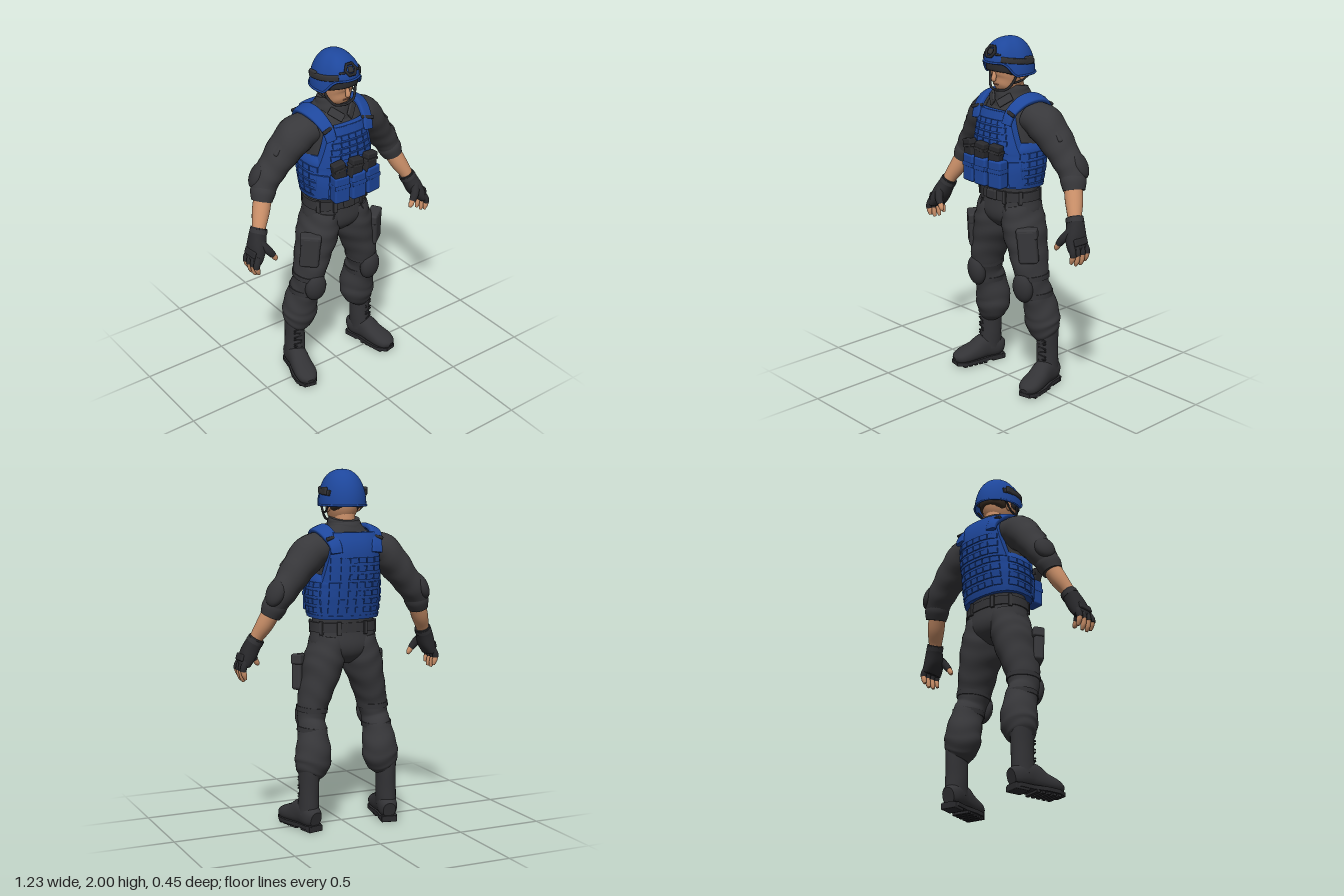
import * as THREE from 'three';
import { mergeVertices } from 'three/addons/utils/BufferGeometryUtils.js';
import { RoundedBoxGeometry } from 'three/addons/geometries/RoundedBoxGeometry.js';

const V = (x, y, z) => new THREE.Vector3(x, y, z);
const Y = V(0, 1, 0), Z = V(0, 0, 1);
const spow = (v, e) => Math.sign(v) * Math.abs(v) ** e;

// Closed skin through sections [x, y, z, halfWidth, halfDepth]; depth follows the hint axis
function loft(secs, { n = 24, sub = 5, p = 2, hint = Z, fold = 0 } = {}) {
  const rows = [], k = secs.length, pos = [], idx = [];
  for (let i = 0; i < k - 1; i++) for (let s = 0; s < sub; s++) {
    const t = s / sub, [a, b, c, d] = [secs[Math.max(i - 1, 0)], secs[i], secs[i + 1], secs[Math.min(i + 2, k - 1)]];
    rows.push(b.map((_, j) => 0.5 * (2 * b[j] + (c[j] - a[j]) * t + (2 * a[j] - 5 * b[j] + 4 * c[j] - d[j]) * t * t
      + (3 * b[j] - a[j] - 3 * c[j] + d[j]) * t ** 3)));
  }
  rows.push(secs[k - 1]);
  const C = rows.map(r => V(r[0], r[1], r[2])), m = rows.length;
  rows.forEach((r, j) => {
    const T = C[Math.min(j + 1, m - 1)].clone().sub(C[Math.max(j - 1, 0)]).normalize();
    const D = hint.clone().addScaledVector(T, -T.dot(hint)).normalize(), S = T.clone().cross(D);
    for (let i = 0; i < n; i++) {
      const q = i / n * Math.PI * 2, f = 1 + fold * Math.sin(j * 1.15 + 1.6 * Math.sin(q * 2 + 0.6));
      pos.push(...C[j].clone().addScaledVector(S, r[3] * f * spow(Math.cos(q), 2 / p))
        .addScaledVector(D, r[4] * f * spow(Math.sin(q), 2 / p)).toArray());
    }
  });
  for (let j = 0; j < m - 1; j++) for (let i = 0; i < n; i++) {
    const a = j * n + i, b = j * n + (i + 1) % n;
    idx.push(a, a + n, b, b, a + n, b + n);
  }
  for (const j of [0, m - 1]) {
    const base = pos.length / 3;
    pos.push(...pos.slice(j * n * 3, (j + 1) * n * 3), ...C[j].toArray());
    for (let i = 0; i < n; i++) {
      const a = base + i, b = base + (i + 1) % n;
      idx.push(base + n, ...(j ? [b, a] : [a, b]));
    }
  }
  const g = new THREE.BufferGeometry();
  g.setAttribute('position', new THREE.Float32BufferAttribute(pos, 3));
  g.setIndex(idx);
  g.computeVertexNormals();
  return g;
}

const at = (g, x, y, z, rx = 0, ry = 0, rz = 0) =>
  g.applyMatrix4(new THREE.Matrix4().makeRotationFromEuler(new THREE.Euler(rx, ry, rz, 'YXZ')).setPosition(x, y, z));
const box = (w, h, d, r = 0.01) => new RoundedBoxGeometry(w, h, d, 2, Math.min(r, w / 2.1, h / 2.1, d / 2.1));
const ball = (a, b, c) => new THREE.SphereGeometry(1, 20, 14).scale(a, b, c);
const tube = (pts, r, closed = false) =>
  new THREE.TubeGeometry(new THREE.CatmullRomCurve3(pts.map(p => V(...p)), closed), closed ? 64 : 20, r, 8, closed);

function mirror(geo) {
  const g = geo.clone().scale(-1, 1, 1);
  const a = g.index ? Array.from(g.index.array) : Array.from({ length: g.attributes.position.count }, (_, i) => i);
  for (let i = 0; i < a.length; i += 3) [a[i + 1], a[i + 2]] = [a[i + 2], a[i + 1]];
  g.setIndex(a);
  return g;
}

// Vest outline by height: [y, half width, front z, back z]
const VEST = [[1.19, .195, .14, -.16], [1.3, .205, .148, -.182], [1.42, .196, .148, -.2], [1.52, .188, .136, -.21],
  [1.6, .185, .116, -.204], [1.7, .18, .08, -.16]];
function vestAt(y) {
  let i = 0;
  while (i < VEST.length - 2 && y > VEST[i + 1][0]) i++;
  const t = THREE.MathUtils.clamp((y - VEST[i][0]) / (VEST[i + 1][0] - VEST[i][0]), 0, 1);
  const [, rx, f, b] = VEST[i].map((v, j) => v + (VEST[i + 1][j] - v) * t);
  return { rx, cz: (f + b) / 2, rz: (f - b) / 2 };
}
// Box bent onto the vest surface; face is front, back or side
function bent(face, u, y, w, h, d, off = 0, taper = 1) {
  const g = new THREE.BoxGeometry(w, h, d, Math.ceil(w / .025), Math.ceil(h / .04), 1), P = g.attributes.position;
  for (let i = 0; i < P.count; i++) {
    const vy = P.getY(i), uu = u + P.getX(i) * (1 + (taper - 1) * (vy / h + .5)), o = vestAt(y + vy);
    const [span, out] = face === 'side' ? [o.rz, o.rx] : [o.rx, o.rz];
    const r = out * (1 - Math.min(.995, Math.abs(uu) / span) ** 2.6) ** (1 / 2.6) + P.getZ(i) + off;
    if (face === 'side') P.setXYZ(i, r, y + vy, o.cz - uu);
    else { const s = face === 'front' ? 1 : -1; P.setXYZ(i, s * uu, y + vy, o.cz + s * r); }
  }
  g.computeVertexNormals();
  return g;
}

export function createModel() {
  const mat = (name, color, side = THREE.FrontSide) => new THREE.MeshStandardMaterial({ name, color, side });
  const blue = mat('blue', 0x1e479c, THREE.DoubleSide), cloth = mat('charcoal cloth', 0x38383b);
  const gear = mat('dark gear', 0x333336), black = mat('black', 0x2a2a2d);
  const skin = mat('skin', 0xcb9069), lips = mat('lips', 0x9c6350), hair = mat('hair', 0x35291f);
  const model = new THREE.Group();
  model.name = 'officer';
  const add = (name, geo, m) => { const o = new THREE.Mesh(geo, m); o.name = name; model.add(o); };
  const pair = (name, geo, m) => { add(name + 'Left', geo, m); add(name + 'Right', mirror(geo), m); };

  // Head and face
  add('neck', loft([[0, 1.62, -.04, .06, .065], [0, 1.78, -.025, .062, .07]]), skin);
  add('head', loft([[0, 1.705, .045, .03, .035], [0, 1.725, .033, .06, .065], [0, 1.765, .01, .08, .095], [0, 1.82, -.005, .092, .11], [0, 1.9, -.01, .085, .1]]), skin);
  add('hair', loft([[0, 1.765, -.06, .06, .05], [0, 1.79, -.05, .085, .075], [0, 1.86, -.04, .095, .095]]), hair);
  add('nose', loft([[0, 1.772, .101, .013, .012], [0, 1.782, .105, .014, .014], [0, 1.82, .095, .009, .012]], { n: 12 }), skin);
  add('mouth', at(box(.04, .007, .006), 0, 1.748, .09), lips);
  pair('ear', at(ball(.013, .03, .02), .092, 1.795, -.022), skin);
  add('goggles', loft([[0, 1.8, .038, .078, .068], [0, 1.815, .034, .095, .086], [0, 1.885, .025, .1, .09]], { p: 2.3 }), black);

  // Helmet shell with a rim that rises over the face
  const rimY = f => 1.802 + .07 * THREE.MathUtils.smoothstep(f, .35, .85);
  let shell = new THREE.SphereGeometry(1, 40, 16, 0, Math.PI * 2, 0, Math.PI / 2);
  const P = shell.attributes.position;
  for (let i = 0; i < P.count; i++) {
    const x = P.getX(i), z = P.getZ(i), r = Math.hypot(x, z), k = r > 1e-4 ? r ** -.12 : 0;
    const rim = rimY(r > 1e-4 ? z / r : 0);
    P.setXYZ(i, x * k * .129, rim + (2 - rim) * P.getY(i), -.012 + z * k * .149);
  }
  shell.deleteAttribute('uv'); shell.deleteAttribute('normal');
  shell = mergeVertices(shell, 1e-5);
  shell.computeVertexNormals();
  add('helmet', shell, blue);
  const ring = Array.from({ length: 32 }, (_, i) => {
    const a = i / 16 * Math.PI;
    return [.129 * Math.sin(a), rimY(Math.cos(a)), -.012 + .15 * Math.cos(a)];
  });
  add('helmetRim', tube(ring, .006, true), blue);
  const rail = [.55, .9, 1.3, 1.7, 2.1].map((a, i) => [.123 * Math.sin(a), 1.893 - .006 * i, -.012 + .144 * Math.cos(a), .009, .016]);
  pair('helmetRail', loft(rail, { p: 4, hint: Y, n: 12 }), gear);
  pair('railBlock', at(box(.02, .045, .06), .121, 1.88, -.04), gear);
  add('mountFrame', at(new THREE.TorusGeometry(.034, .009, 6, 6), 0, 1.932, .126, -.5), black);
  add('mountPlate', at(box(.03, .035, .02), 0, 1.932, .128, -.5), gear);
  pair('mountArm', at(box(.035, .012, .012), .048, 1.918, .118, -.4, .4), black);
  pair('chinStrap', tube([[.112, 1.83, .03], [.094, 1.77, .045], [.062, 1.725, .07], [0, 1.715, .088]], .007), black);
  pair('rearStrap', tube([[.112, 1.81, -.07], [.098, 1.77, -.01], [.09, 1.76, .045]], .006), black);

  // Shirt and collar
  add('shirt', loft([[0, 1.13, -.015, .178, .125], [0, 1.3, -.02, .182, .14], [0, 1.45, -.03, .182, .148], [0, 1.56, -.04, .185, .143],
    [0, 1.63, -.042, .165, .115], [0, 1.67, -.04, .115, .1], [0, 1.7, -.035, .085, .088]]), cloth);
  add('collar', loft([[0, 1.62, -.04, .12, .118], [0, 1.67, -.035, .102, .106], [0, 1.71, -.033, .092, .095], [0, 1.735, -.037, .085, .086]], { fold: .012 }), cloth);
  pair('collarFlap', at(box(.09, .045, .015, .006), .05, 1.665, .07, -.35, .45, .6), cloth);

  // Arms: sleeves, elbow pads, forearms and gloves
  const sleeve = [[.13, 1.58, -.045, .085, .098], [.215, 1.548, -.06, .1, .111], [.293, 1.468, -.075, .09, .103], [.355, 1.388, -.085, .08, .09],
    [.41, 1.315, -.085, .074, .08], [.445, 1.245, -.07, .058, .065]];
  pair('sleeve', loft(sleeve, { fold: .022 }), cloth);
  pair('sleeveCuff', loft([[.422, 1.29, -.08, .066, .07], [.437, 1.258, -.073, .068, .073], [.453, 1.215, -.063, .056, .062]]), cloth);
  pair('elbowPad', at(ball(.04, .08, .06), .442, 1.345, -.115, 0, .45, .45), gear);
  pair('sleevePatch', at(box(.03, .1, .1, .012), .344, 1.51, -.07, 0, 0, .72), cloth);
  pair('forearm', loft([[.435, 1.26, -.07, .05, .05], [.475, 1.17, -.04, .048, .05], [.51, 1.1, -.01, .038, .04], [.525, 1.06, 0, .036, .036]]), skin);
  pair('glove', loft([[.511, 1.092, -.008, .043, .046], [.53, 1.055, .003, .044, .049], [.552, 1.0, .022, .044, .062], [.573, .95, .033, .031, .066], [.578, .932, .034, .022, .06]], { p: 2.4 }), black);
  pair('gloveStrap', loft([[.514, 1.085, -.006, .047, .05], [.524, 1.065, 0, .048, .051]], { sub: 1 }), gear);
  pair('knucklePad', at(box(.016, .04, .095), .596, .985, .03, 0, 0, .3), black);
  [[.086, .88], [.052, .862], [.016, .86], [-.018, .875]].forEach(([z, tip], i) => {
    const zz = .034 + (z - .034) * .9;
    pair('gloveFinger' + i, loft([[.575, .97, zz, .018, .017], [.592, .935, z, .019, .018], [.597, .91, z, .017, .016]], { n: 12 }), black);
    pair('fingertip' + i, loft([[.597, .915, z, .015, .015], [.59, tip + .015, z, .015, .015], [.582, tip - .01, z, .008, .008]], { n: 12 }), skin);
  });
  pair('gloveThumb', loft([[.545, 1.04, .04, .024, .024], [.515, .995, .075, .023, .025], [.488, .957, .087, .018, .019]], { n: 14 }), black);
  pair('thumbTip', loft([[.493, .965, .086, .015, .016], [.476, .937, .088, .015, .015], [.469, .922, .087, .007, .007]], { n: 12 }), skin);

  // Armoured vest
  const wrap = [1.19, 1.25, 1.31, 1.36, 1.4, 1.435].map((y, i) => {
    const o = vestAt(y), inset = i === 5 ? .016 : 0;
    return [0, y, o.cz, o.rx - inset, o.rz - inset];
  });
  add('vestBody', loft(wrap, { p: 2.6, n: 40 }), blue);
  add('frontPanel', bent('front', 0, 1.5, .36, .22, .04, -.01, .67), blue);
  add('frontPanelTop', bent('front', 0, 1.6, .2, .025, .03, -.006, .95), blue);
  add('backPanel', bent('back', 0, 1.525, .355, .27, .04, -.01, .7), blue);
  pair('shoulderStrap', loft([[.122, 1.55, .125, .012, .03], [.13, 1.61, .1, .013, .033], [.146, 1.663, .035, .015, .038], [.152, 1.678, -.045, .016, .041],
    [.146, 1.657, -.125, .015, .038], [.125, 1.6, -.185, .014, .034], [.12, 1.55, -.203, .012, .032]], { hint: V(1, -.42, 0), p: 4 }), blue);
  pair('strapBuckle', at(box(.074, .02, .018, .006), .132, 1.612, .108, -.6, 0, -.3), black);
  pair('rearStrapBuckle', at(box(.074, .02, .018, .006), .134, 1.632, -.17, .8, 0, -.3), black);
  for (let r = 0; r < 4; r++) for (let c = 0; c < 5; c++)
    add('frontWebbing', bent('front', (c - 2) * (.054 - r * .003), 1.445 + r * .036, .047 - r * .002, .026, .01, .012), blue);
  for (let r = 0; r < 7; r++) for (let c = 0; c < 6; c++)
    add('backWebbing', bent('back', (c - 2.5) * .05, 1.235 + r * .046, .044, .03, .01, r > 3 ? .012 : .003), blue);
  for (let r = 0; r < 4; r++) for (let c = 0; c < 4; c++)
    pair('sideWebbing', bent('side', (c - 1.5) * .052, 1.235 + r * .046, .046, .03, .01, .002), blue);
  pair('vestFrontPocket', bent('front', .168, 1.275, .045, .14, .03, .004), blue);
  add('vestHem', loft([[0, 1.188, -.01, .198, .153], [0, 1.21, -.011, .202, .157]], { p: 2.6, n: 40, sub: 1 }), blue);

  // Magazine pouches
  for (const i of [-1, 0, 1]) {
    const x = i * .103, z = i ? .172 : .182, ry = i * .12;
    add('magazinePouch', at(box(.092, .155, .07, .012), x, 1.282, z, 0, ry), blue);
    add('pouchBand', at(box(.095, .025, .074, .005), x, 1.3, z, 0, ry), blue);
    add('magazine', at(box(.074, .11, .048, .008), x - .01, 1.388, z + .004, .04, ry, i < 0 ? .18 : -.1), black);
    add('magazineStrap', at(box(.08, .016, .054, .004), x - .008, 1.405, z + .004, .04, ry, i < 0 ? .18 : -.1), gear);
  }

  // Belt and trousers
  add('waist', loft([[0, 1.16, -.015, .18, .128], [0, 1.1, -.015, .186, .132], [0, 1.03, -.017, .19, .136], [0, .98, -.018, .14, .122], [0, .94, -.018, .06, .085], [0, .925, -.018, .025, .06]], { p: 2.3 }), cloth);
  add('belt', loft([[0, 1.108, -.015, .192, .138], [0, 1.162, -.015, .189, .135]], { p: 2.3, n: 40, sub: 1 }), gear);
  add('buckle', at(box(.075, .055, .018), 0, 1.135, .123), gear);
  for (const [x, z, ry] of [[.09, .113, .3], [.165, .06, 1], [.165, -.09, 2.1], [.08, -.145, 2.9]])
    pair('beltLoop', at(box(.024, .075, .014, .004), x, 1.132, z, 0, ry), cloth);
  pair('trouserLeg', loft([[.094, 1.08, -.015, .088, .127], [.105, 1.0, -.016, .1, .137], [.122, .92, -.016, .11, .136], [.15, .82, -.015, .095, .124], [.178, .72, -.01, .086, .112],
    [.195, .62, -.02, .075, .092], [.2, .55, -.045, .08, .094], [.205, .45, -.07, .098, .1], [.212, .38, -.075, .102, .098], [.228, .325, -.08, .083, .08], [.237, .3, -.085, .06, .068]], { fold: .02, n: 32 }), cloth);
  pair('frontPocketSeam', tube([[.085, 1.1, .108], [.11, 1.05, .112], [.17, 1.01, .07]], .004), cloth);
  pair('thighPocket', at(box(.11, .2, .06, .018), .226, .872, .062, .05, .62, .08), cloth);
  pair('thighPocketFlap', at(box(.118, .06, .066, .012), .222, .945, .063, .05, .62, .08), cloth);
  pair('kneePad', at(ball(.064, .09, .045), .194, .62, .068, .14, .12), gear);
  for (const [x, y, z, a, b] of [[.187, .672, -.012, .085, .107], [.199, .563, -.04, .083, .097]])
    pair('kneeStrap', loft([[x, y + .014, z, a, b], [x + .002, y - .014, z, a, b]], { sub: 1 }), gear);

  // Boots, turned slightly outwards
  const foot = g => at(g, .245, 0, -.085, 0, .22);
  pair('bootShaft', loft([[.24, .345, -.085, .055, .07], [.24, .2, -.085, .055, .068], [.245, .09, -.082, .056, .073]], { fold: .012 }), gear);
  pair('bootFoot', foot(loft([[0, .07, -.076, .036, .045], [0, .08, -.04, .054, .062], [0, .095, .04, .056, .075], [0, .075, .11, .061, .057],
    [0, .062, .18, .063, .044], [0, .052, .225, .048, .033], [0, .045, .246, .02, .02]], { hint: Y, p: 2.3 })), gear);
  const outline = new THREE.Shape([[-.035, -.078], [.035, -.078], [.052, -.05], [.05, .03], [.067, .12], [.065, .19], [.035, .245],
    [-.035, .245], [-.065, .19], [-.063, .12], [-.05, .03], [-.052, -.05]].map(([x, z]) => new THREE.Vector2(x, -z)));
  pair('bootSole', foot(new THREE.ExtrudeGeometry(outline, { depth: .022, bevelEnabled: false }).rotateX(-Math.PI / 2).translate(0, .014, 0)), black);
  pair('bootHeel', foot(at(box(.092, .034, .09, .005), 0, .017, -.033)), black);
  for (let i = 0; i < 5; i++) pair('bootTread', foot(at(box(.105, .02, .022, .003), 0, .01, .06 + i * .034)), black);
  for (let i = 0; i < 7; i++)
    pair('bootLace', foot(at(box(.05, .009, .012, .003), 0, .15 + i * .024, .062, 0, 0, i % 2 ? .22 : -.22)), black);
  return model;
}
